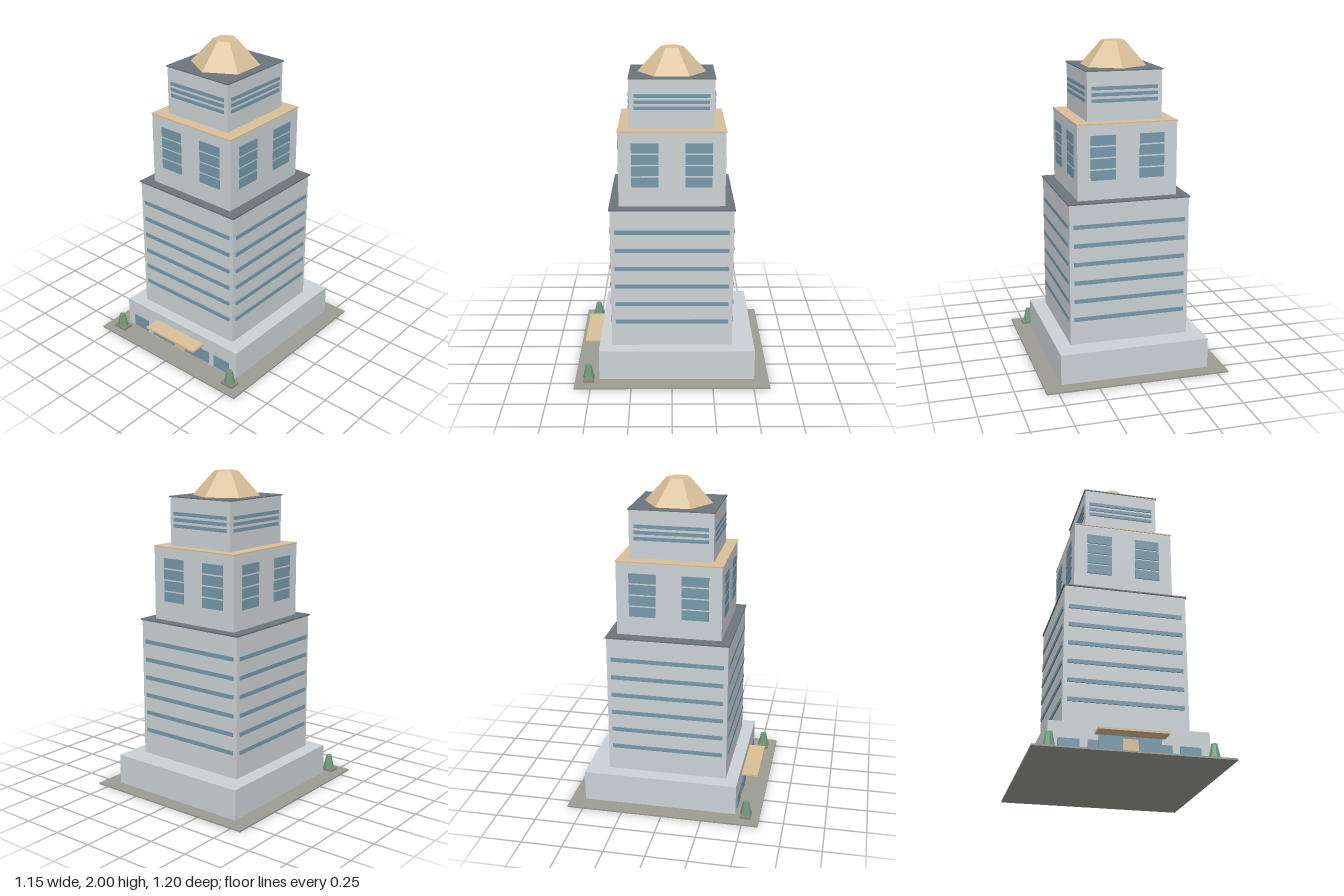
import * as THREE from 'three';

const mat = (color) => new THREE.MeshStandardMaterial({ color, flatShading: true });

export function createModel() {
  const model = new THREE.Group();
  model.name = 'tower';
  const wall = mat(0xccd2d6), roof = mat(0x6b757b), tan = mat(0xd9bf98);
  const glass = mat(0x7799ab), paving = mat(0x9c9c94), leaf = mat(0x6f9b7a), stone = mat(0x8f8a82);

  const add = (name, geometry, material, x, y, z, parent = model) => {
    const mesh = new THREE.Mesh(geometry, material);
    mesh.name = name;
    mesh.position.set(x, y, z);
    parent.add(mesh);
    return mesh;
  };
  // Box given by its centre in x and z, and its bottom and top heights
  const block = (name, material, w, d, y0, y1, x = 0, z = 0, parent = model) =>
    add(name, new THREE.BoxGeometry(w, y1 - y0, d), material, x, (y0 + y1) / 2, z, parent);

  // Ground plate and podium
  block('groundPlate', paving, 1.146, 1.2, 0, 0.01);
  block('podium', wall, 0.932, 0.96, 0.01, 0.2, 0, -0.03);

  // Three stepped tiers, each with a thin roof slab
  block('lowerTier', wall, 0.746, 0.746, 0.2, 1.079);
  block('lowerRoof', roof, 0.76, 0.76, 1.079, 1.088);
  block('middleTier', wall, 0.616, 0.642, 1.088, 1.542);
  block('middleRoof', tan, 0.62, 0.65, 1.542, 1.549);
  block('upperTier', wall, 0.462, 0.512, 1.549, 1.843);
  block('upperRoof', roof, 0.476, 0.52, 1.843, 1.85);

  // Hexagonal crown
  add('crown', new THREE.CylinderGeometry(0.073, 0.21, 0.15, 6), tan, 0, 1.925, 0);

  // Windows repeated on all four faces; hx and hz are the tier's half sizes
  const windows = (name, hx, hz, rows, height, offsetX, widthX, offsetZ, widthZ) => {
    const group = new THREE.Group();
    group.name = name;
    model.add(group);
    const t = 0.012;
    const sidesX = offsetX ? [-offsetX, offsetX] : [0];
    const sidesZ = offsetZ ? [-offsetZ, offsetZ] : [0];
    for (const y of rows) for (const s of [-1, 1]) {
      for (const x of sidesX) block('window', glass, widthX, t, y - height / 2, y + height / 2, x, s * hz, group);
      for (const z of sidesZ) block('window', glass, t, widthZ, y - height / 2, y + height / 2, s * hx, z, group);
    }
  };
  const lowerRows = Array.from({ length: 6 }, (_, i) => 0.361 + i * 0.1165);
  windows('lowerWindowBands', 0.373, 0.373, lowerRows, 0.025, 0, 0.694, 0, 0.694);
  windows('middleWindows', 0.308, 0.321, [1.238, 1.308, 1.378, 1.448], 0.06, 0.151, 0.153, 0.161, 0.163);
  windows('upperWindowBands', 0.231, 0.256, [1.671, 1.708, 1.745], 0.021, 0, 0.408, 0, 0.45);

  // Entrance: glazing, door, canopy and shop windows
  block('entranceGlass', glass, 0.36, 0.012, 0.02, 0.135, 0, 0.453);
  block('door', tan, 0.09, 0.012, 0.02, 0.12, 0, 0.457);
  block('canopy', tan, 0.404, 0.103, 0.137, 0.149, 0, 0.502);
  for (const s of [-1, 1]) {
    block('shopWindow', glass, 0.123, 0.01, 0.02, 0.103, s * 0.348, 0.451);
    block('shopWindow', glass, 0.123, 0.01, 0.02, 0.103, s * 0.181, 0.451);

    // Planter with a tapered shrub
    block('planter', stone, 0.09, 0.065, 0.01, 0.026, s * 0.467, 0.515);
    add('shrub', new THREE.CylinderGeometry(0.018, 0.036, 0.085, 8), leaf, s * 0.467, 0.0685, 0.515);
  }
  return model;
}
